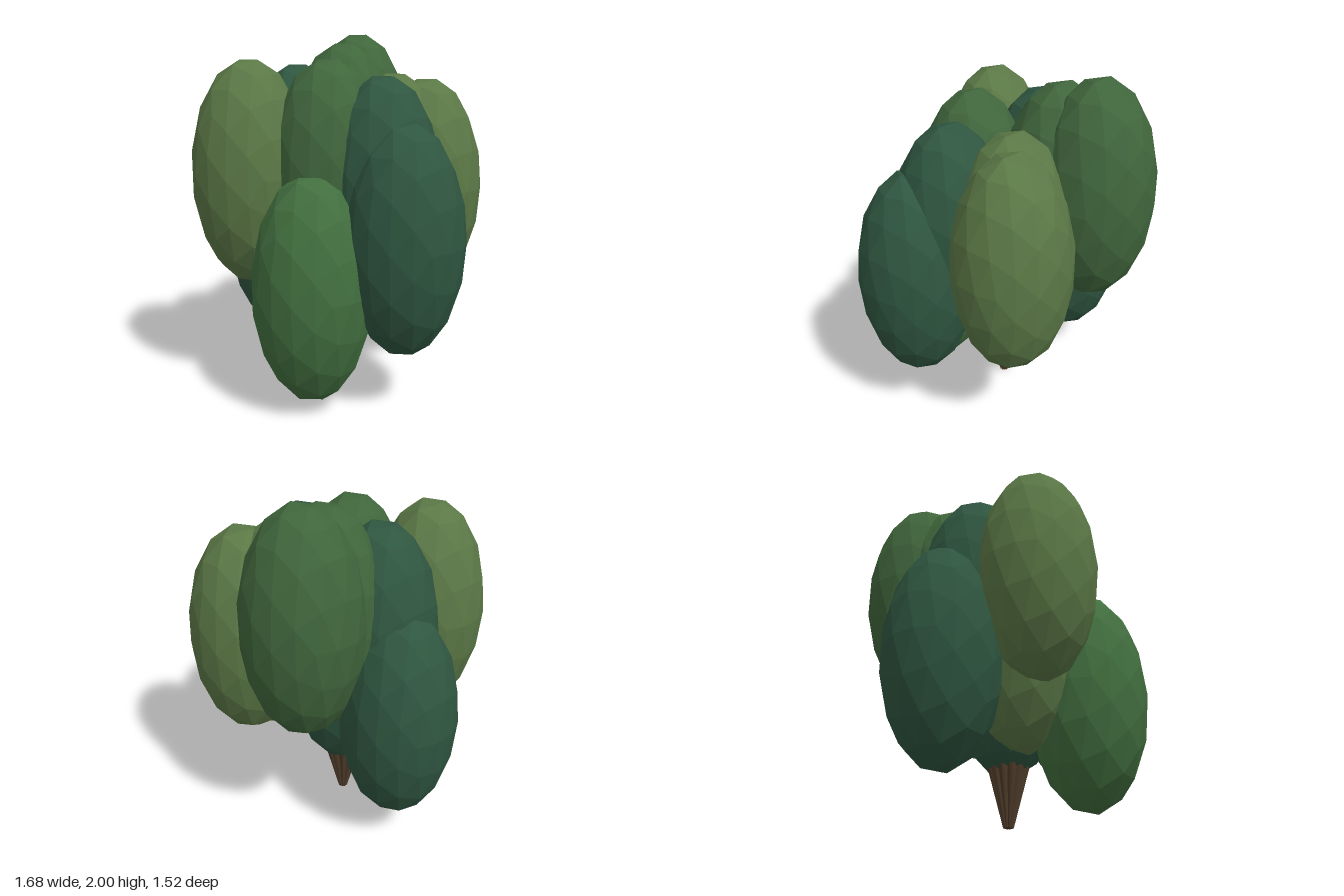
import * as THREE from 'three';

const material = (color) => new THREE.MeshStandardMaterial({ color, flatShading: true });

export function createModel() {
  const tree = new THREE.Group();
  tree.name = 'tree';

  const leaf = {
    bright: material(0x426f3f),
    mid: material(0x40663c),
    dark: material(0x2f5640),
    olive: material(0x5b7846),
  };

  // Foliage: tall faceted ellipsoids, all one size
  const foliage = new THREE.Group();
  foliage.name = 'foliage';
  const clump = new THREE.IcosahedronGeometry(1, 2).scale(0.322, 0.623, 0.322);
  const clumps = [
    // name, shade, x, y, z
    ['lowFrontClump', 'bright', 0.14, 0.675, 0.44],
    ['lowLeftClump', 'dark', 0.52, 0.935, 0.155],
    ['lowRightClump', 'dark', -0.525, 0.81, -0.035],
    ['lowCentreClump', 'dark', -0.04, 0.885, 0.04],
    ['lowInnerClump', 'olive', -0.14, 0.96, 0.2],
    ['frontRightClump', 'olive', -0.32, 1.245, 0.41],
    ['frontCentreClump', 'mid', 0.05, 1.245, 0.19],
    ['upperLeftClump', 'dark', 0.325, 1.16, 0.075],
    ['upperRightClump', 'dark', -0.315, 1.215, 0.02],
    ['innerBackClump', 'olive', 0.18, 1.165, -0.25],
    ['backLeftClump', 'olive', 0.315, 1.135, -0.375],
    ['innerTopClump', 'mid', -0.18, 1.335, -0.24],
    ['backTopClump', 'mid', -0.23, 1.39, -0.445],
  ];
  for (const [name, shade, x, y, z] of clumps) {
    const mesh = new THREE.Mesh(clump, leaf[shade]);
    mesh.name = name;
    mesh.position.set(x, y, z);
    foliage.add(mesh);
  }
  tree.add(foliage);

  // Trunk: narrow at the foot, widening upward, with rounded flutes
  const flutes = 12;
  const height = 0.36;
  const trunkGeometry = new THREE.CylinderGeometry(0.125, 0.028, height, flutes * 4);
  const p = trunkGeometry.attributes.position;
  for (let i = 0; i < p.count; i++) {
    const angle = Math.atan2(p.getZ(i), p.getX(i));
    const k = 0.84 + 0.16 * Math.abs(Math.sin((angle * flutes) / 2));
    p.setX(i, p.getX(i) * k);
    p.setZ(i, p.getZ(i) * k);
  }
  trunkGeometry.computeVertexNormals();
  const trunk = new THREE.Mesh(trunkGeometry, material(0x4f3c2a));
  trunk.name = 'trunk';
  trunk.position.set(-0.035, height / 2, 0.043);
  tree.add(trunk);

  return tree;
}
